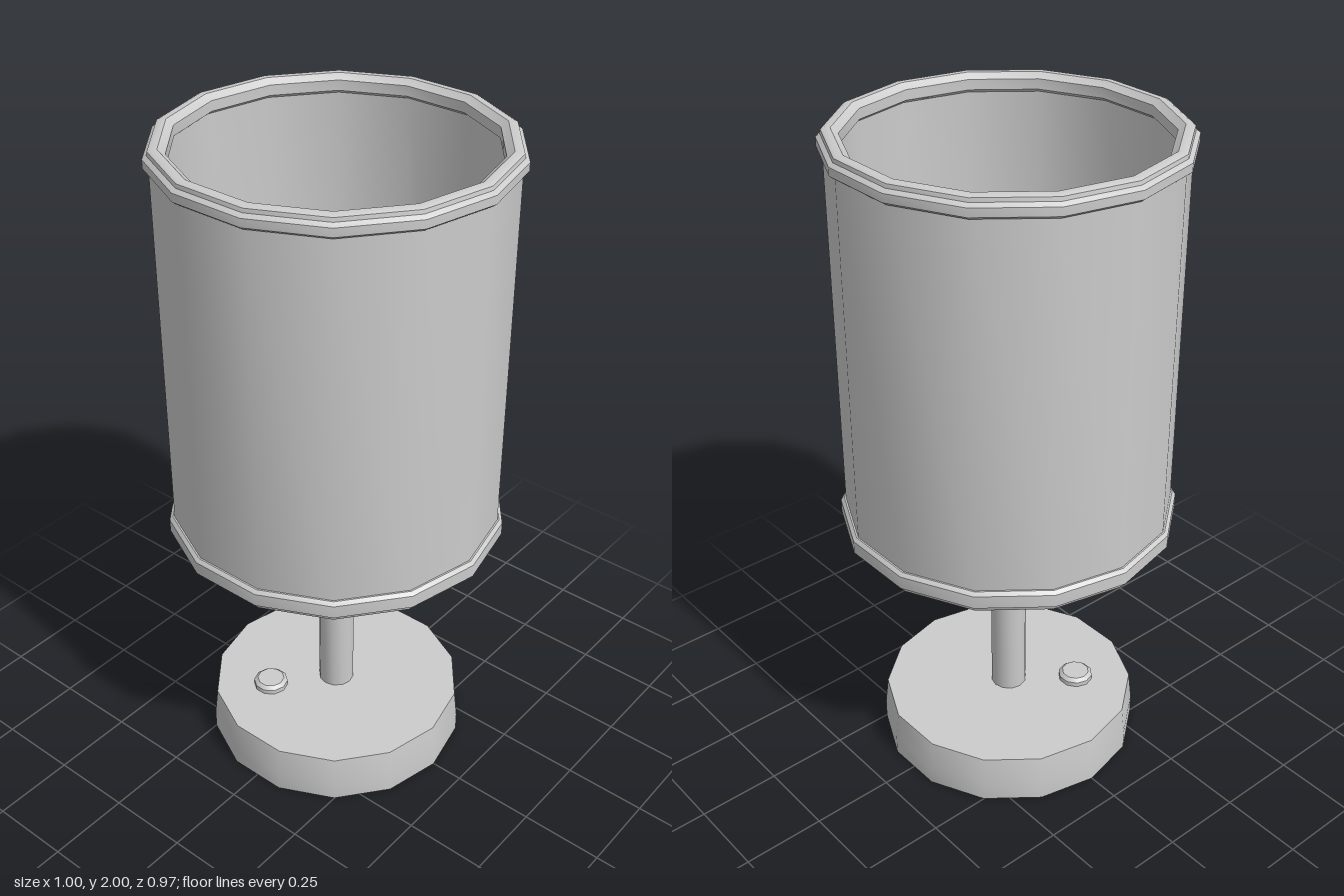
import * as THREE from 'three';
import { toCreasedNormals } from 'three/addons/utils/BufferGeometryUtils.js';

const SIDES = 14;

export function createModel() {
  const lamp = new THREE.Group();
  lamp.name = 'tableLamp';
  const material = new THREE.MeshStandardMaterial({ color: 0xcccccc });

  const add = (name, geometry, x = 0, y = 0, z = 0) => {
    const mesh = new THREE.Mesh(geometry, material);
    mesh.name = name;
    mesh.position.set(x, y, z);
    lamp.add(mesh);
    return mesh;
  };

  // Turned part from [radius, height] pairs, with a corner on the x axis
  const turned = (points, sides, crease = 0.5) => toCreasedNormals(
    new THREE.LatheGeometry(points.map(([r, y]) => new THREE.Vector2(r, y)), sides, Math.PI / 2),
    crease);

  // Base
  add('base', turned([[0, 0], [0.4, 0], [0.4, 0.06], [0.39, 0.15], [0, 0.15]], SIDES));

  // Switch button on the base
  add('switchButton', turned(
    [[0, 0], [0.054, 0], [0.054, 0.016], [0.042, 0.026], [0, 0.026]], 10, 0.65), -0.135, 0.149, 0.168);

  // Stem
  add('stem', turned([[0, 0.14], [0.055, 0.14], [0.055, 1.15], [0, 1.15]], 12, 0.6));

  // Bulb: short neck swelling into a round globe
  const bulbY = 1.38, bulbR = 0.148;
  const bulb = [[0, 1.14], [0.05, 1.14], [0.052, 1.2]];
  for (let i = 0; i <= 9; i++) {
    const a = -0.95 + (i / 9) * (Math.PI / 2 + 0.95);
    bulb.push([Math.max(0, bulbR * Math.cos(a)), bulbY + bulbR * Math.sin(a)]);
  }
  add('bulb', turned(bulb, 10, 0.9));

  // Shade wall
  add('shade', turned(
    [[0.455, 0.81], [0.485, 0.81], [0.485, 1.98], [0.455, 1.98], [0.455, 0.81]], SIDES));

  // Bevelled trims on both rims
  add('topTrim', turned([
    [0.455, 1.944], [0.49, 1.944], [0.5, 1.952], [0.5, 1.976], [0.488, 1.985],
    [0.486, 1.996], [0.478, 2], [0.46, 2], [0.44, 1.985], [0.44, 1.955], [0.455, 1.944],
  ], SIDES));
  add('bottomTrim', turned([
    [0.44, 0.8], [0.455, 0.79], [0.482, 0.79], [0.487, 0.803], [0.5, 0.811],
    [0.5, 0.85], [0.49, 0.86], [0.455, 0.86], [0.44, 0.85], [0.44, 0.8],
  ], SIDES));

  // Three arms rising outward from the stem to corners of the shade
  const armLength = 0.455;
  [1, 6, 11].forEach((corner, i) => {
    const geometry = new THREE.BoxGeometry(armLength, 0.05, 1);
    geometry.translate(armLength / 2, 0, 0);
    const p = geometry.attributes.position;
    for (let v = 0; v < p.count; v++) {
      const t = p.getX(v) / armLength;
      p.setY(v, p.getY(v) + 0.965 + 0.15 * t);
      p.setZ(v, p.getZ(v) * (0.044 + 0.036 * t));
    }
    geometry.computeVertexNormals();
    add('shadeArm' + (i + 1), geometry).rotation.y = -corner * Math.PI * 2 / SIDES;
  });

  return lamp;
}
